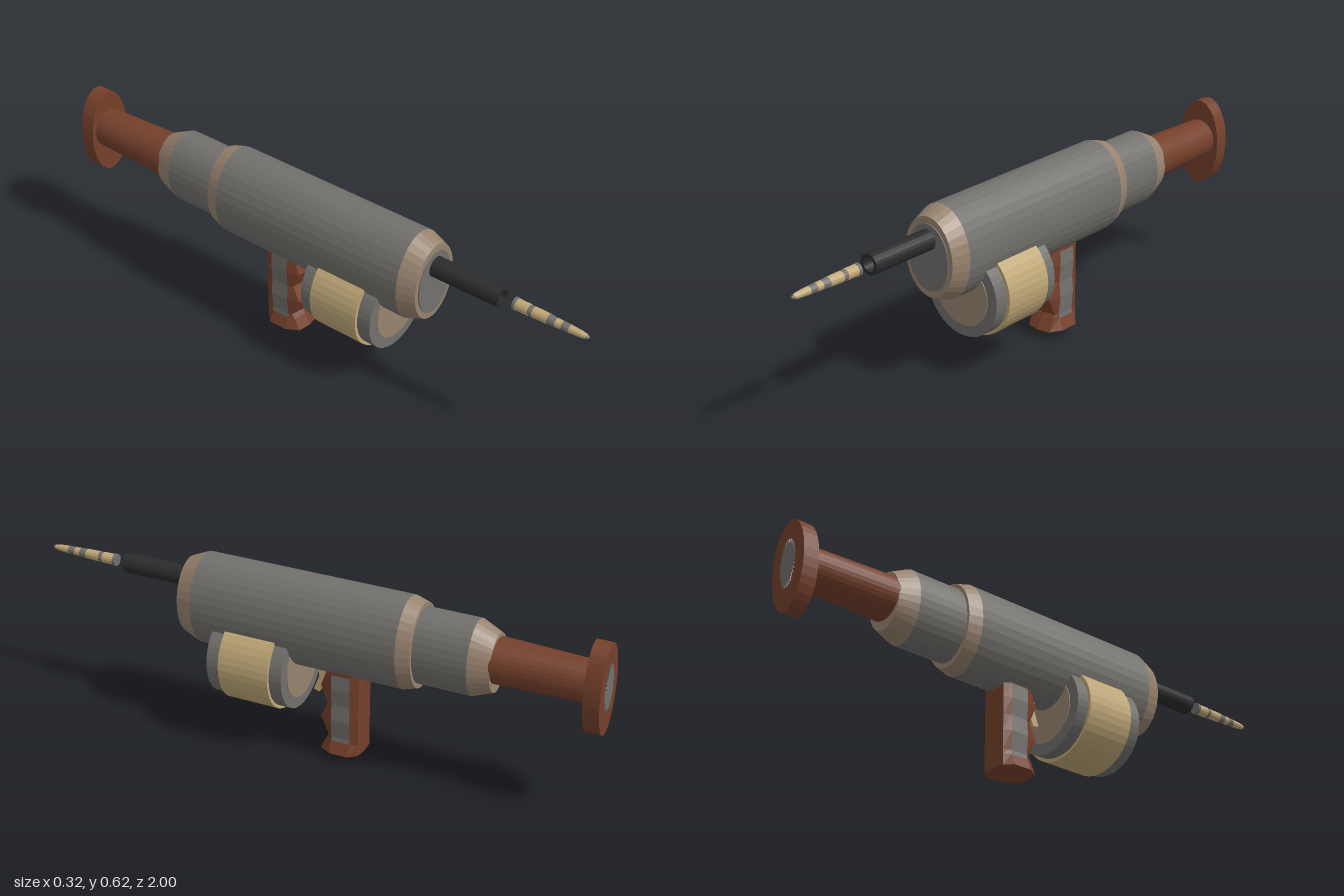
import * as THREE from 'three';

const mat = (name, color) => {
  const m = new THREE.MeshStandardMaterial({ color });
  m.name = name;
  return m;
};

export function createModel() {
  const model = new THREE.Group();
  model.name = 'launcher';
  const steel = mat('steel grey', 0x72706c);
  const bronze = mat('bronze brown', 0x98836f);
  const brass = mat('brass', 0xbfa777);
  const wood = mat('red wood', 0x75402b);
  const black = mat('black barrel', 0x2b2b2b);

  const add = (name, geo, material, parent = model) => {
    const flat = geo.index ? geo.toNonIndexed() : geo;
    flat.computeVertexNormals(); // faceted look
    const mesh = new THREE.Mesh(flat, material);
    mesh.name = name;
    parent.add(mesh);
    return mesh;
  };

  // Elliptical section along z: front radii a, back radii b, as [rx, ry, centre y]
  const section = (name, material, zFront, zBack, a, b = a, x = -0.005, sides = 32, parent = model) => {
    const geo = new THREE.CylinderGeometry(1, 1, 2, sides);
    geo.rotateX(Math.PI / 2);
    const p = geo.attributes.position;
    for (let i = 0; i < p.count; i++) {
      const front = p.getZ(i) > 0;
      const [rx, ry, cy] = front ? a : b;
      p.setXYZ(i, x + p.getX(i) * rx, cy + p.getY(i) * ry, front ? zFront : zBack);
    }
    return add(name, geo, material, parent);
  };

  // Main body and rear housing
  section('frontCollar', bronze, 0.45, 0.39, [0.1, 0.135, 0.468], [0.118, 0.16, 0.468]);
  section('frontPlate', steel, 0.454, 0.448, [0.084, 0.1125, 0.468]);
  section('mainBody', steel, 0.39, -0.345, [0.118, 0.16, 0.468]);
  section('bodyRearCollar', bronze, -0.345, -0.392, [0.118, 0.16, 0.468], [0.106, 0.146, 0.468]);
  section('rearHousing', steel, -0.392, -0.575, [0.096, 0.13, 0.469]);
  section('housingRearCollar', bronze, -0.575, -0.643, [0.096, 0.13, 0.469], [0.076, 0.1, 0.466]);

  // Shoulder stock with a butt plate and a spiky inlay
  section('stock', wood, -0.63, -0.95, [0.077, 0.076, 0.476], [0.066, 0.068, 0.474]);
  section('buttPlate', wood, -0.944, -0.997, [0.083, 0.155, 0.46]);
  const star = new THREE.Shape();
  for (let i = 0; i < 64; i++) {
    const r = i % 2 ? 0.8 : 1;
    const t = (i / 64) * Math.PI * 2;
    star[i ? 'lineTo' : 'moveTo'](Math.cos(t) * r * 0.041, Math.sin(t) * r * 0.083);
  }
  const inlay = new THREE.ExtrudeGeometry(star, { depth: 0.004, bevelEnabled: false });
  inlay.translate(-0.005, 0.465, -1);
  add('buttInlay', inlay, steel);

  // Hollow barrel
  const bore = [[0.034, -0.27], [0.034, 0], [0.023, 0], [0.023, -0.2], [0, -0.2]]
    .map(([r, y]) => new THREE.Vector2(r, y));
  const barrel = new THREE.LatheGeometry(bore, 24);
  barrel.rotateX(Math.PI / 2);
  barrel.translate(-0.005, 0.529, 0.7);
  add('barrel', barrel, black);

  // Round in front of the muzzle: [back z, front z, back radius, front radius, colour]
  const round = new THREE.Group();
  round.name = 'round';
  model.add(round);
  [
    [0.742, 0.752, 0.021, 0.021, steel],
    [0.752, 0.795, 0.019, 0.019, brass],
    [0.795, 0.81, 0.0175, 0.0175, steel],
    [0.81, 0.862, 0.018, 0.017, brass],
    [0.862, 0.888, 0.017, 0.015, steel],
    [0.888, 0.91, 0.015, 0.014, brass],
    [0.91, 0.935, 0.0145, 0.0135, steel],
    [0.935, 0.975, 0.0135, 0.011, brass],
    [0.975, 0.992, 0.011, 0.008, brass],
    [0.992, 1.0, 0.008, 0.004, steel],
  ].forEach(([z0, z1, r0, r1, m], i) =>
    section('roundBand' + (i + 1), m, z1, z0, [r1, r1, 0.529], [r0, r0, 0.529], -0.005, 16, round));

  // Drum magazine
  const drum = new THREE.Group();
  drum.name = 'drum';
  model.add(drum);
  const disc = (name, m, z1, z0, r) => section(name, m, z1, z0, [r, r, 0.3], [r, r, 0.3], 0, 40, drum);
  disc('drumBand', brass, 0.263, 0.08, 0.159);
  disc('drumCore', steel, 0.312, 0.035, 0.148);
  disc('drumFrontCap', bronze, 0.315, 0.31, 0.11);
  disc('drumRearCap', bronze, 0.037, 0.032, 0.11);

  // Grip with finger grooves: rows of [y, front z, half width]
  const rows = [
    [0.035, -0.05, 0.07], [0.075, -0.07, 0.054], [0.09, -0.08, 0.052], [0.155, -0.05, 0.058],
    [0.21, -0.075, 0.053], [0.27, -0.05, 0.058], [0.32, -0.068, 0.055], [0.335, -0.07, 0.055],
  ];
  const rings = rows.map(([y, f, w]) => {
    const half = [[0.045, f - 0.008], [w, -0.1], [w, -0.166], [0.045, -0.193]];
    return [[0, f], ...half, [0, -0.197], ...half.map(([x, z]) => [-x, z]).reverse()]
      .map(([x, z]) => [x, y, z]);
  });
  const woodFaces = [];
  const panelFaces = [];
  const n = rings[0].length;
  for (let i = 0; i < n; i++) {
    const k = (i + 1) % n;
    woodFaces.push([0, 0.003, -0.13], rings[0][k], rings[0][i]);
    for (let j = 0; j < rings.length - 1; j++) {
      const side = i === 2 || i === 7;
      const faces = side && j > 0 && j < rings.length - 2 ? panelFaces : woodFaces;
      const [a, b, c, d] = [rings[j][i], rings[j][k], rings[j + 1][k], rings[j + 1][i]];
      faces.push(a, b, c, a, c, d);
    }
  }
  const grip = new THREE.Group();
  grip.name = 'grip';
  model.add(grip);
  const facesGeo = (points) => new THREE.BufferGeometry()
    .setAttribute('position', new THREE.Float32BufferAttribute(points.flat(), 3));
  add('gripWood', facesGeo(woodFaces), wood, grip);
  add('gripPanels', facesGeo(panelFaces), steel, grip);

  // Trigger, drawn in the z-y plane
  const t = new THREE.Shape([[-0.03, 0.335], [-0.034, 0.28], [-0.015, 0.228], [-0.035, 0.222],
    [-0.058, 0.262], [-0.068, 0.335]].map(([z, y]) => new THREE.Vector2(-z, y)));
  const trigger = new THREE.ExtrudeGeometry(t, { depth: 0.024, bevelEnabled: false });
  trigger.rotateY(Math.PI / 2);
  trigger.translate(-0.012, 0, 0);
  add('trigger', trigger, brass);

  return model;
}
